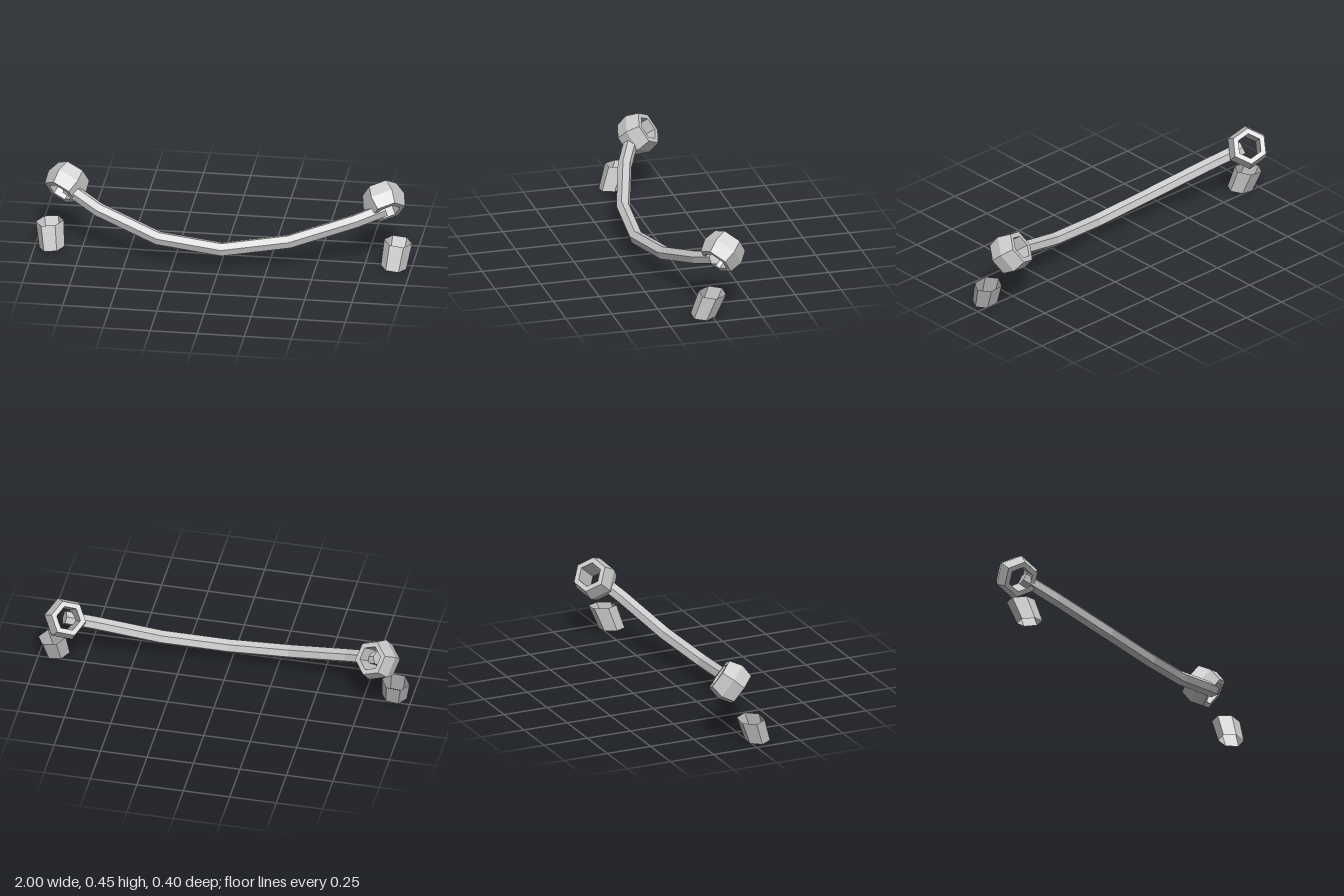
import * as THREE from 'three';

const V = (x, y, z) => new THREE.Vector3(x, y, z);
const lerp = THREE.MathUtils.lerp;

// Hexagonal bar swept along a polyline; one corner points to the outside of the bend.
function hexBar(path, radius) {
  const sides = 6, pos = [], idx = [];
  const b = V(0, 0.7, 0.72).normalize();
  path.forEach((p, i) => {
    const t = path[Math.min(i + 1, path.length - 1)].clone().sub(path[Math.max(i - 1, 0)]).normalize();
    const n = t.clone().cross(b).normalize();
    const up = n.clone().cross(t);
    for (let k = 0; k < sides; k++) {
      const a = k / sides * Math.PI * 2;
      const q = p.clone().addScaledVector(n, radius * Math.cos(a)).addScaledVector(up, radius * Math.sin(a));
      pos.push(q.x, q.y, q.z);
    }
  });
  for (let i = 0; i < path.length - 1; i++) {
    for (let k = 0; k < sides; k++) {
      const a = i * sides + k, c = i * sides + (k + 1) % sides;
      idx.push(a, a + sides, c, c, a + sides, c + sides);
    }
  }
  const last = (path.length - 1) * sides;
  for (let k = 1; k < sides - 1; k++) {
    idx.push(0, k, k + 1, last, last + k + 1, last + k);
  }
  const g = new THREE.BufferGeometry();
  g.setAttribute('position', new THREE.Float32BufferAttribute(pos, 3));
  g.setIndex(idx);
  g.computeVertexNormals();
  return g;
}

export function createModel() {
  const model = new THREE.Group();
  const mat = new THREE.MeshStandardMaterial({ color: 0xcccccc, flatShading: true, side: THREE.DoubleSide });
  const add = (geo, name) => {
    const m = new THREE.Mesh(geo, mat);
    m.name = name;
    model.add(m);
    return m;
  };

  // Curved bar, sagging forward and down
  add(hexBar([
    V(-0.84, 0.315, -0.05), V(-0.66, 0.238, 0.04), V(-0.33, 0.14, 0.14), V(0.01, 0.107, 0.162),
    V(0.36, 0.15, 0.107), V(0.70, 0.25, 0.02), V(0.85, 0.302, -0.035),
  ], 0.038), 'curvedBar');

  // Bulged six-sided rings on the bar ends
  const profile = [[0.066, -0.07], [0.095, -0.07], [0.115, 0], [0.095, 0.07], [0.066, 0.07], [0.066, -0.07]]
    .map(([r, y]) => new THREE.Vector2(r, y));
  const ring = (name, centre, axis, spin) => {
    const a = axis.normalize();
    const u = V(0, 1, 0).addScaledVector(a, -a.y).normalize().applyAxisAngle(a, spin);
    const m = add(new THREE.LatheGeometry(profile, 6), name);
    m.quaternion.setFromRotationMatrix(new THREE.Matrix4().makeBasis(a.clone().cross(u), a, u));
    m.position.copy(centre);
  };
  ring('leftRing', V(0.837, 0.33, -0.082), V(-0.42, 0.6, -0.68), 0.14);
  ring('rightRing', V(-0.845, 0.33, -0.082), V(0.43, 0.57, -0.7), 0);

  // Open six-sided sleeves, leaning back and slightly outward
  for (const s of [1, -1]) {
    const g = new THREE.CylinderGeometry(0.074, 0.0675, 1, 6, 1, true, Math.PI / 6);
    const p = g.attributes.position;
    for (let i = 0; i < p.count; i++) {
      const x = p.getX(i), z = p.getZ(i), t = p.getY(i) + 0.5;
      p.setXYZ(i, x + s * lerp(0.907, 0.925, t), lerp(0.009, 0.138, t) - s * x * 0.11, z + lerp(0.046, 0, t));
    }
    g.computeVertexNormals();
    add(g, s > 0 ? 'leftSleeve' : 'rightSleeve');
  }
  return model;
}
